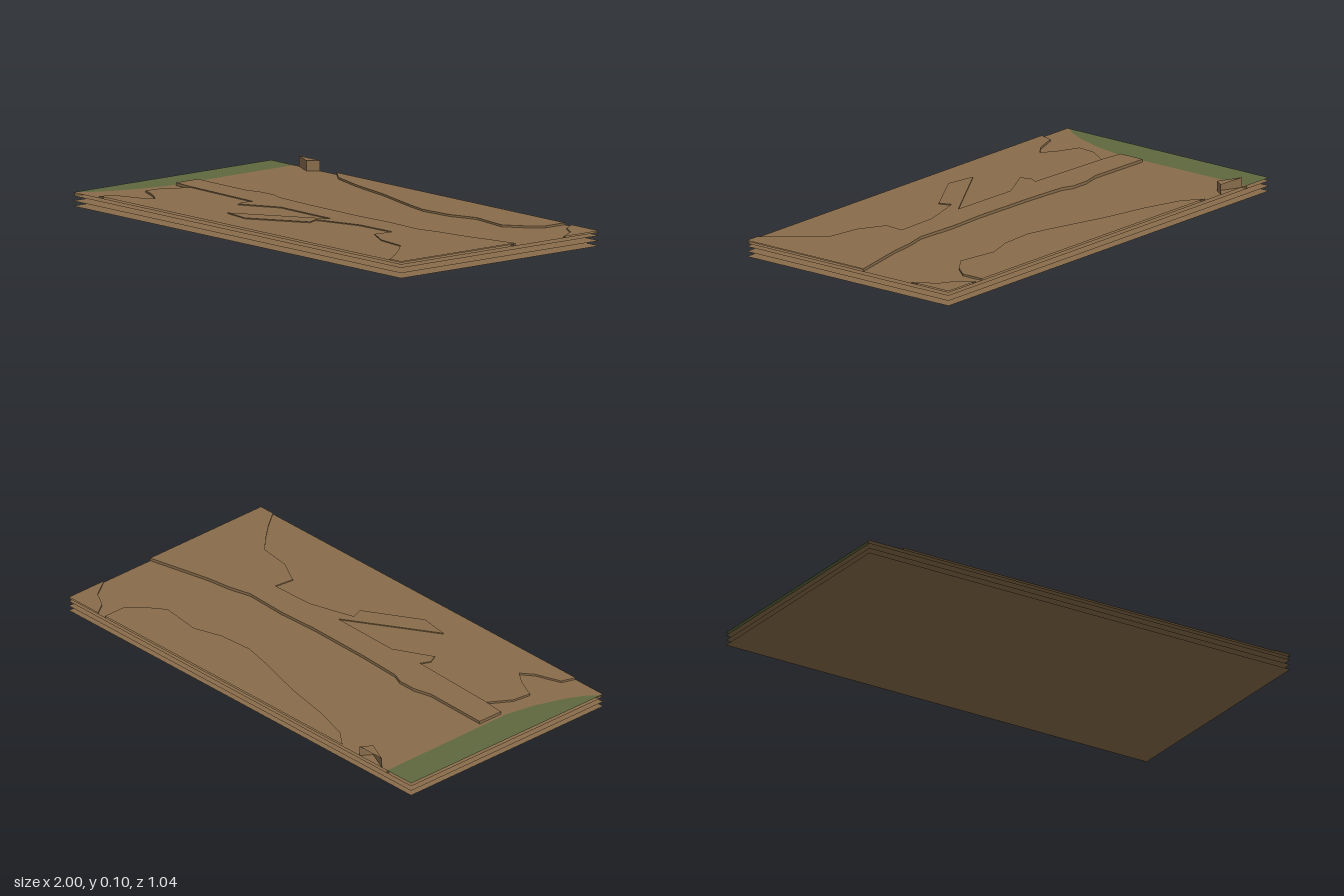
import * as THREE from 'three';

const X = 1, Z = 0.52;

export function createModel() {
  const group = new THREE.Group();
  const brown = new THREE.MeshStandardMaterial({ color: 0x886c4a, side: THREE.DoubleSide });
  brown.name = 'earth brown';
  const green = new THREE.MeshStandardMaterial({ color: 0x5f683e, side: THREE.DoubleSide });
  green.name = 'grass green';

  const add = (name, geometry, material) => {
    const mesh = new THREE.Mesh(geometry, material);
    mesh.name = name;
    group.add(mesh);
  };

  // Flat sheet from an [x, z] outline at height y
  const sheet = (name, pts, y, material = brown) => {
    const shape = new THREE.Shape(pts.map(([x, z]) => new THREE.Vector2(x, -z)));
    add(name, new THREE.ShapeGeometry(shape).rotateX(-Math.PI / 2).translate(0, y, 0), material);
  };

  // Vertical step following an [x, z] line
  const wall = (name, pts, y0, y1) => {
    const pos = [];
    for (let i = 0; i < pts.length - 1; i++) {
      const [ax, az] = pts[i], [bx, bz] = pts[i + 1];
      pos.push(ax, y0, az, bx, y0, bz, bx, y1, bz, ax, y0, az, bx, y1, bz, ax, y1, az);
    }
    const g = new THREE.BufferGeometry();
    g.setAttribute('position', new THREE.Float32BufferAttribute(pos, 3));
    g.computeVertexNormals();
    add(name, g, brown);
  };

  // Raised terrace: a step along the line, closed off by corners on the open rim
  const terrace = (name, line, rim, y0, y1) => {
    sheet(name + 'Top', [...line, ...rim], y1);
    wall(name + 'Step', line, y0, y1);
  };

  // Stacked full-size sheets, open at the sides
  const full = [[-X, -Z], [X, -Z], [X, Z], [-X, Z]];
  [0, 0.021, 0.042].forEach((y, i) => sheet('baseSheet' + (i + 1), full, y));

  // Ground level, split into grass and earth with a partition below
  const border = [[-0.86, -Z], [-0.855, 0.13], [-0.88, 0.26], [-0.92, 0.38], [-0.96, 0.46], [-X, 0.51]];
  sheet('grass', [...border, [-X, -Z]], 0.055, green);
  sheet('ground', [...border, [-X, Z], [X, Z], [X, -Z]], 0.055);
  wall('grassPartition', border, 0.042, 0.055);

  // Southern terrace
  const crest = [[-0.84, 0], [-0.55, 0.005], [-0.47, -0.015], [-0.39, -0.015], [-0.34, 0.005],
    [-0.15, 0.015], [0.15, 0.02], [0.33, 0.012], [0.52, 0.02], [0.62, -0.005], [0.73, -0.02], [X, -0.08]];
  const west = [[-0.84, Z], [-0.82, 0.46], [-0.71, 0.42], [-0.66, 0.38], [-0.72, 0.34], [-0.81, 0.3],
    [-0.8, 0.22], [-0.74, 0.125], [-0.84, 0.115]];
  terrace('southTerrace', [...west, ...crest], [[X, Z]], 0.055, 0.063);

  // Ridge with its southern spurs
  const southEdge = [[0.93, Z], [0.87, 0.44], [0.8, 0.36], [0.74, 0.3], [0.6, 0.28], [0.49, 0.22],
    [0.5, 0.135], [0.31, 0.14], [0.24, 0.16], [0.11, 0.2], [0.13, 0.25], [-0.1, 0.39], [-0.23, 0.37],
    [0.14, 0.14], [-0.18, 0.135], [-0.34, 0.22], [-0.36, 0.18], [-0.34, 0.14], [-0.74, 0.125], [-0.84, 0.115]];
  terrace('ridge', [...southEdge, ...crest], [[X, 0.28], [0.66, 0.2], [0.9, 0.4]].slice(0, 1).concat([[X, Z]]), 0.063, 0.067);

  // Northern terrace
  terrace('northTerrace', [[-0.6, -Z], [-0.52, -0.46], [-0.35, -0.41], [-0.15, -0.37], [0.1, -0.3],
    [0.21, -0.275], [0.36, -0.285], [0.48, -0.325], [0.66, -0.3], [0.74, -0.36], [0.79, -0.42], [0.79, -Z]],
  [], 0.055, 0.063);

  // Small knoll on the north-eastern corner
  terrace('cornerKnoll', [[0.83, -Z], [0.87, -0.46], [0.94, -0.42], [X, -0.33]], [[X, -Z]], 0.055, 0.061);

  // Three-cornered outcrop on the back rim
  terrace('outcrop', [[-0.83, -Z], [-0.73, -0.475], [-0.7, -Z]], [], 0.055, 0.097);

  return group;
}
